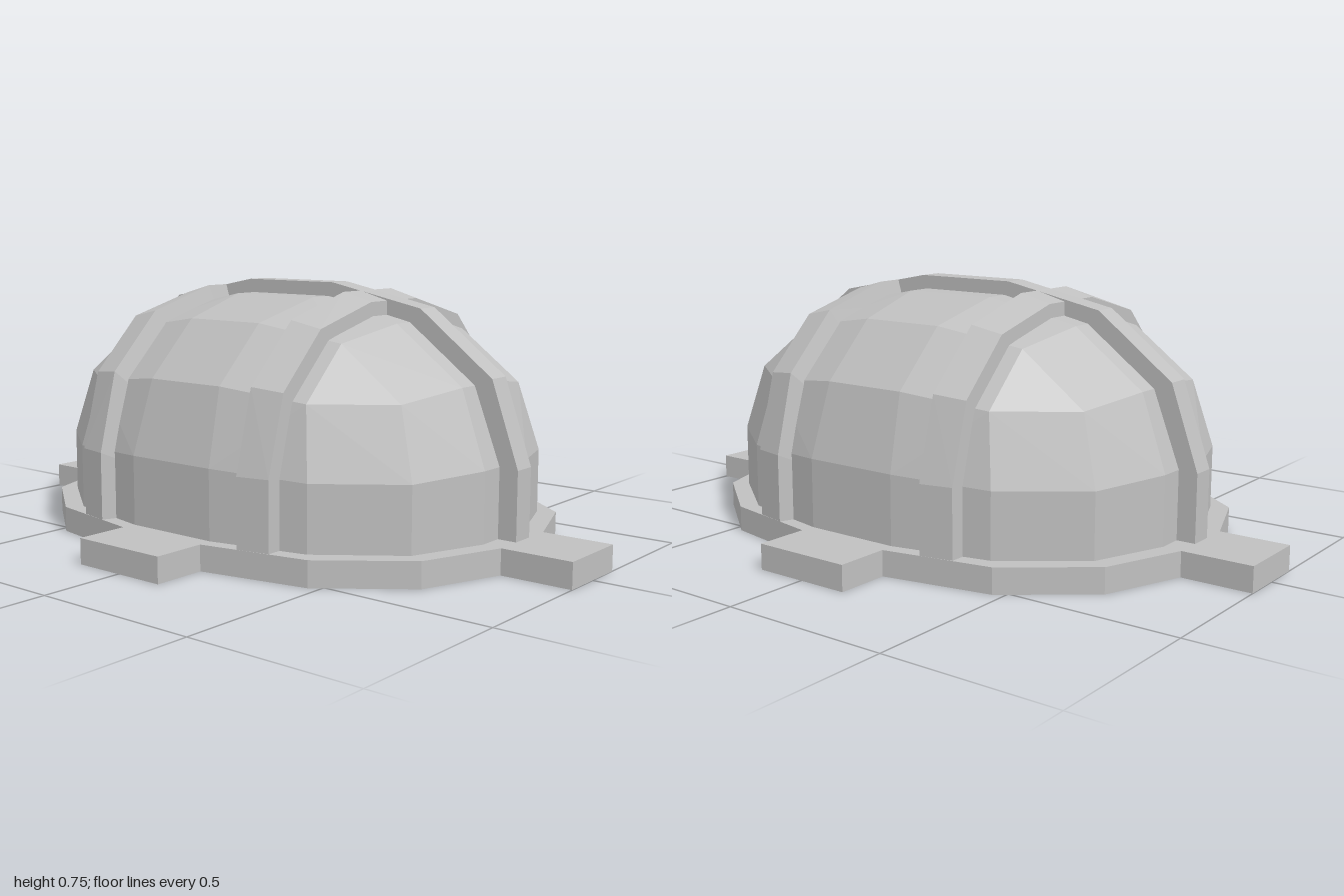
import * as THREE from 'three';
import { ConvexGeometry } from 'three/addons/geometries/ConvexGeometry.js';

const V = (x, y, z) => new THREE.Vector3(x, y, z);

// Faceted rounded-cube dome: cube directions pushed onto a superellipsoid, lower half dropped
function domePoints(sx, sy, sz, y0) {
  const p = 2.45, points = [];
  const steps = [-33.75, -11.25, 11.25, 33.75].map(a => Math.tan(THREE.MathUtils.degToRad(a)));
  for (const side of [-1, 1]) for (const a of steps) for (const b of steps) {
    for (const d of [[side, a, b], [a, side, b], [a, b, side]]) {
      const k = d.reduce((s, c) => s + Math.abs(c) ** p, 0) ** (-1 / p);
      const y = y0 + d[1] * k * sy;
      if (y > 0) points.push(V(d[0] * k * sx, y, d[2] * k * sz));
    }
  }
  return points;
}

// Mirrors a half arch profile to both sides
const arch = half => [...half, ...half.map(([a, b]) => [-a, b])];

export function createModel() {
  const group = new THREE.Group();
  const grey = new THREE.MeshStandardMaterial({ color: 0xc0c0c0 });
  grey.name = 'light grey';
  const add = (name, geometry) => {
    const mesh = new THREE.Mesh(geometry, grey);
    mesh.name = name;
    group.add(mesh);
    return mesh;
  };

  // Base plate: faceted oval with four square tabs
  const quarter = [[0.75, 0], [0.75, 0.15], [0.592, 0.15], [0.53, 0.47],
    [0.352, 0.7], [0.113, 0.79], [0.113, 1], [0, 1]];
  const half = [...quarter, ...quarter.slice(0, -1).reverse().map(([x, z]) => [-x, z])];
  const outline = [...half, ...half.slice(1, -1).map(([x, z]) => [-x, -z])];
  const plate = new THREE.ExtrudeGeometry(
    new THREE.Shape(outline.map(([x, z]) => new THREE.Vector2(x, z))),
    { depth: 0.074, bevelEnabled: false });
  plate.rotateX(-Math.PI / 2);
  add('basePlate', plate);

  // Dome
  add('dome', new ConvexGeometry(domePoints(0.56, 0.553, 0.745, 0.165)));

  // Lengthwise rib
  const spine = arch([[0.79, 0.03], [0.79, 0.27], [0.705, 0.51], [0.47, 0.688], [0.16, 0.75]]);
  add('lengthwiseRib', new ConvexGeometry(
    spine.flatMap(([z, y]) => [V(-0.035, y, z), V(0.035, y, z)])));

  // Cross ribs: taller inner edge, lower outer edge, inner face slightly undercut
  const inner = arch([[0.57, 0.04], [0.57, 0.27], [0.51, 0.5], [0.345, 0.665], [0.115, 0.73]]);
  const outer = arch([[0.55, 0.04], [0.55, 0.27], [0.49, 0.49], [0.335, 0.645], [0.11, 0.705]]);
  for (const s of [-1, 1]) {
    add(s > 0 ? 'frontCrossRib' : 'backCrossRib', new ConvexGeometry([
      ...inner.map(([x, y]) => V(x, y, s * 0.262)),
      ...inner.map(([x, y]) => V(x * 0.9, y * 0.9, s * 0.24)),
      ...outer.map(([x, y]) => V(x, y, s * 0.356)),
    ]));
  }
  return group;
}
